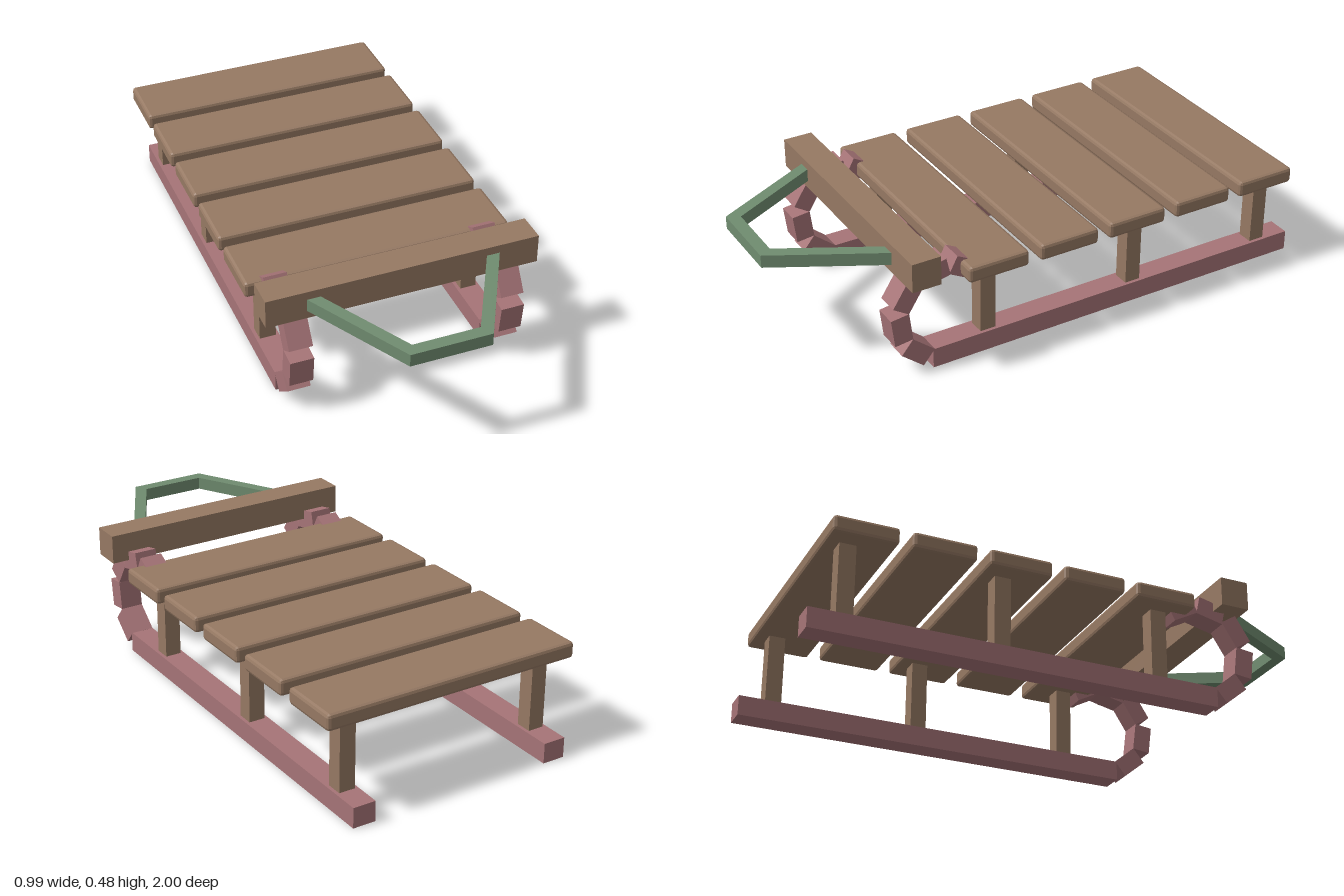
import * as THREE from 'three';
import { RoundedBoxGeometry } from 'three/addons/geometries/RoundedBoxGeometry.js';

export function createModel() {
  const sled = new THREE.Group();
  sled.name = 'sled';

  const material = (name, color) => {
    const m = new THREE.MeshStandardMaterial({ color });
    m.name = name;
    return m;
  };
  const wood = material('brown wood', 0x967963);
  const runnerPaint = material('dusty red paint', 0xa67477);
  const rope = material('green handle', 0x708c70);

  const add = (name, geometry, mat, x, y, z, parent = sled) => {
    const mesh = new THREE.Mesh(geometry, mat);
    mesh.name = name;
    mesh.position.set(x, y, z);
    parent.add(mesh);
    return mesh;
  };

  // Seat planks with chamfered edges
  const plank = new RoundedBoxGeometry(0.985, 0.06, 0.233, 1, 0.012);
  plank.computeVertexNormals(); // unindexed, so this gives crisp chamfers
  for (let i = 0; i < 5; i++) add('seatPlank', plank, wood, 0, 0.367, 0.288 - i * 0.2795);

  // Front crossbar
  add('crossbar', new THREE.BoxGeometry(0.988, 0.108, 0.108), wood, 0, 0.43, 0.567);

  // Curl blocks: z, y and the slope of the long axis (direction in z, y)
  const curl = [
    [0.572, 0.083, 0.77, 0.64],
    [0.631, 0.193, 0.12, 0.99],
    [0.604, 0.313, -0.54, 0.84],
    [0.503, 0.377, -0.97, 0.22],
    [0.385, 0.363, -0.88, -0.47],
  ];
  const block = new THREE.BoxGeometry(0.085, 0.069, 0.107);

  for (const side of [-1, 1]) {
    const runner = new THREE.Group();
    runner.name = side > 0 ? 'leftRunner' : 'rightRunner';
    runner.position.x = side * 0.387;
    sled.add(runner);

    add('runnerRail', new THREE.BoxGeometry(0.085, 0.075, 1.515), runnerPaint, 0, 0.0375, -0.2425, runner);
    for (const [z, y, dz, dy] of curl) {
      add('runnerCurl', block, runnerPaint, 0, y, z, runner).rotation.x = -Math.atan2(dy, dz);
    }
    for (const z of [0.292, -0.31, -0.87]) {
      add('post', new THREE.BoxGeometry(0.06, 0.275, 0.06), wood, 0, 0.208, z, runner);
    }
  }

  // Pull handle: an open trapezoid band, drawn in plan and extruded upwards
  const plan = [
    [-0.36, 0.6], [-0.145, 1], [0.145, 1], [0.36, 0.6],
    [0.312, 0.6], [0.12, 0.955], [-0.12, 0.955], [-0.312, 0.6],
  ];
  const shape = new THREE.Shape(plan.map(([x, z]) => new THREE.Vector2(x, -z)));
  const handle = new THREE.ExtrudeGeometry(shape, { depth: 0.047, bevelEnabled: false });
  handle.rotateX(-Math.PI / 2);
  add('pullHandle', handle, rope, 0, 0.406, 0);

  return sled;
}
